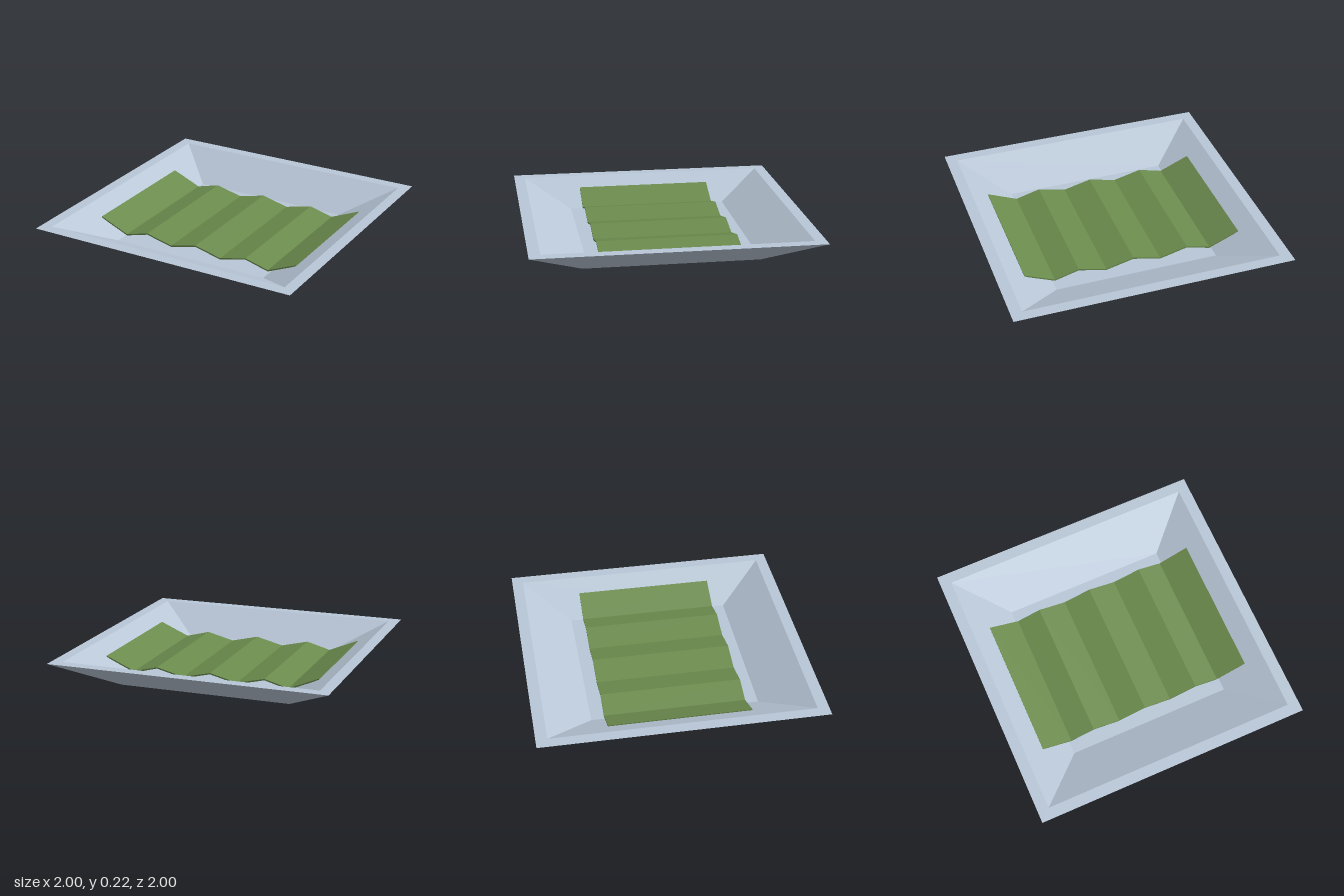
import * as THREE from 'three';

export function createModel() {
  const model = new THREE.Group();

  // Square tray: a four-sided lathe of the half section (half width, height)
  const section = [[0, 0], [0.62, 0], [1, 0.22], [0.92, 0.22], [0.59, 0.055], [0, 0.055]];
  const trayGeometry = new THREE.LatheGeometry(
    section.map(([w, y]) => new THREE.Vector2(w * Math.SQRT2, y)), 4, Math.PI / 4);
  const tray = new THREE.Mesh(trayGeometry,
    new THREE.MeshStandardMaterial({ color: 0xb8c6d6, flatShading: true }));
  tray.name = 'tray';
  model.add(tray);

  // Folded sheet: half of its top edge from the centre outwards, mirrored
  const half = [[0, 0.117], [0.2, 0.068], [0.4, 0.117], [0.575, 0.07], [0.79, 0.162]];
  const top = [...half.slice(1).reverse().map(([x, y]) => [-x, y]), ...half];
  const thickness = 0.01;
  const bottom = top.map(([x, y]) => [x, y - thickness]).reverse();
  const outline = new THREE.Shape([...top, ...bottom].map(([x, y]) => new THREE.Vector2(x, y)));
  const sheetGeometry = new THREE.ExtrudeGeometry(outline, { depth: 1, bevelEnabled: false });
  sheetGeometry.translate(0, 0, -0.5);
  const sheet = new THREE.Mesh(sheetGeometry,
    new THREE.MeshStandardMaterial({ color: 0x6b8b4d, flatShading: true }));
  sheet.name = 'foldedSheet';
  model.add(sheet);

  return model;
}
